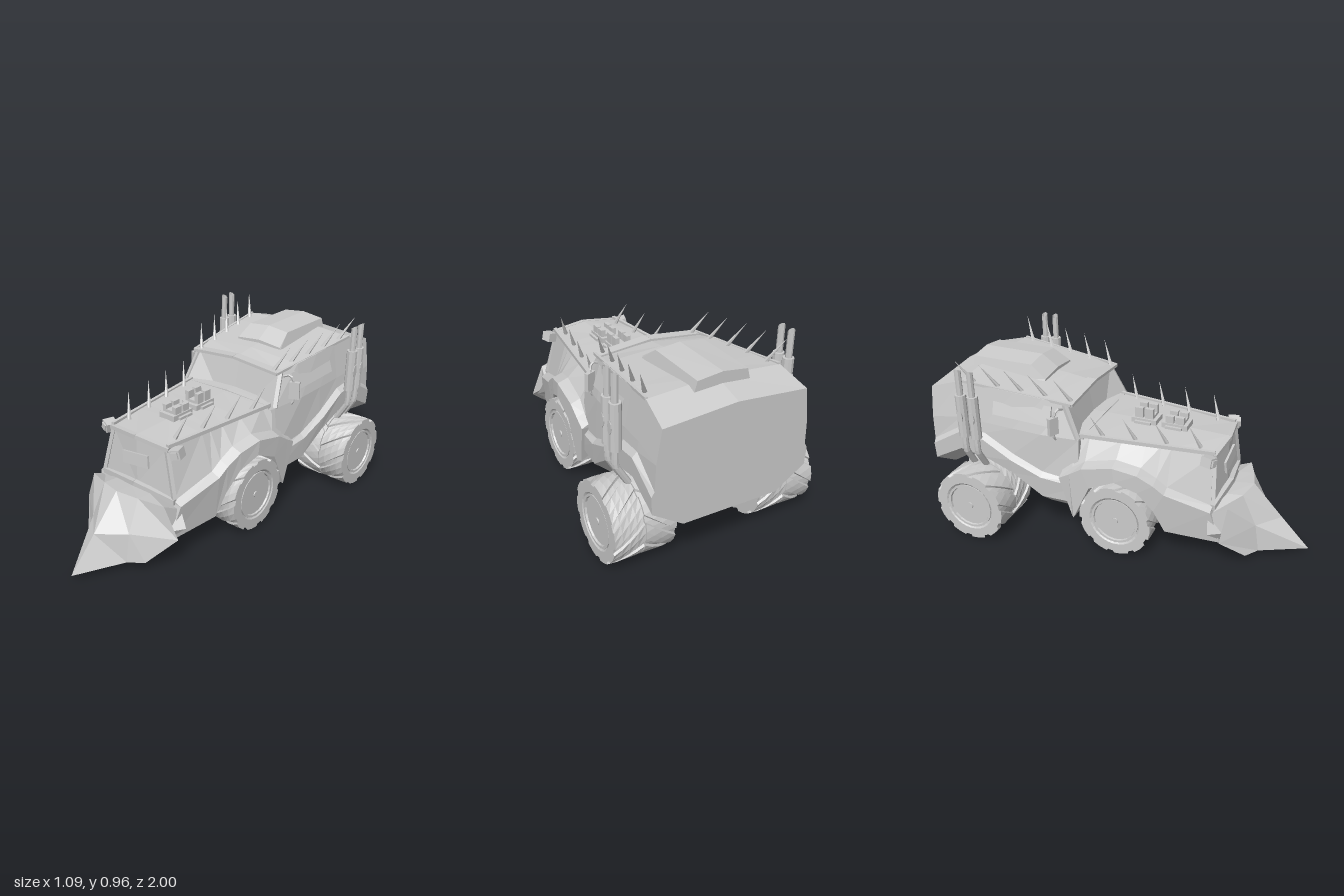
import * as THREE from 'three';

const mat = new THREE.MeshStandardMaterial({ color: 0xcccccc, flatShading: true, side: THREE.DoubleSide });
const V = (p) => new THREE.Vector3(...p);

function add(parent, name, geo) {
  const m = new THREE.Mesh(geo, mat);
  m.name = name;
  parent.add(m);
  return m;
}

// Skin closed rings of equal length, with fan caps at both ends
function loft(rings) {
  const n = rings[0].length, pos = rings.flat(2), idx = [];
  for (let i = 0; i < rings.length - 1; i++)
    for (let j = 0; j < n; j++) {
      const a = i * n + j, b = i * n + (j + 1) % n;
      idx.push(a, a + n, b, b, a + n, b + n);
    }
  [0, rings.length - 1].forEach((r) => {
    const c = [0, 1, 2].map((k) => rings[r].reduce((s, p) => s + p[k], 0) / n);
    const ci = pos.length / 3;
    pos.push(...c);
    for (let j = 0; j < n; j++) {
      const a = r * n + j, b = r * n + (j + 1) % n;
      idx.push(...(r ? [b, ci, a] : [a, ci, b]));
    }
  });
  const g = new THREE.BufferGeometry();
  g.setAttribute('position', new THREE.Float32BufferAttribute(pos, 3));
  g.setIndex(idx);
  g.computeVertexNormals();
  return g;
}

// Mirror a half section that starts and ends on the centre line
const mirrorRing = (half) => [...half, ...half.slice(1, -1).reverse().map(([x, y, z]) => [-x, y, z])];

// Rectangular bar between two points
function bar(parent, name, a, b, w, h) {
  const A = V(a), B = V(b);
  const m = add(parent, name, new THREE.BoxGeometry(w, h, A.distanceTo(B)));
  m.position.copy(A).add(B).multiplyScalar(0.5);
  m.lookAt(B);
}

function spike(parent, base, tip) {
  const A = V(base), d = V(tip).sub(A), len = d.length();
  const m = add(parent, 'spike', new THREE.ConeGeometry(0.012, len, 6).translate(0, len / 2, 0));
  m.position.copy(A);
  m.quaternion.setFromUnitVectors(new THREE.Vector3(0, 1, 0), d.normalize());
}

// Tyre with slanted lugs: rows across the width, twisted as they go
function tyreGeometry(w, twist) {
  const lugs = 10, steps = [[0, 1], [0.33, 1], [0.66, 1], [0.7, 0], [0.96, 0]];
  const rows = [[-0.42, 0.125, 0], [-0.5, 0.14, 0], [-0.5, 0.186, 0.012], [-0.25, 0.188, 0.012], [0, 0.188, 0.012],
    [0.25, 0.188, 0.012], [0.5, 0.186, 0.012], [0.5, 0.14, 0], [0.42, 0.125, 0]];
  return loft(rows.map(([f, r, lug]) => {
    const ring = [];
    for (let i = 0; i < lugs; i++)
      for (const [s, up] of steps) {
        const t = (i + s) / lugs * Math.PI * 2 + f * twist, R = r + lug * up;
        ring.push([f * w, R * Math.sin(t), R * Math.cos(t)]);
      }
    return ring.reverse();
  }));
}

function wheel(parent, name, x, z, twist) {
  const g = new THREE.Group();
  g.name = name;
  g.position.set(x, 0.2, z);
  add(g, 'tyre', tyreGeometry(0.154, twist));
  // Stepped dish with a raised hub on each face
  const half = [[0, 0.07], [0.016, 0.07], [0.018, 0.058], [0.058, 0.054], [0.064, 0.04],
    [0.094, 0.036], [0.1, 0.055], [0.113, 0.058], [0.118, 0.074], [0.13, 0.074]];
  const prof = [...half, ...half.map(([r, h]) => [r, -h]).reverse()].reverse();
  add(g, 'rim', new THREE.LatheGeometry(prof.map(([r, h]) => new THREE.Vector2(r, h)), 20).rotateZ(Math.PI / 2));
  parent.add(g);
}

export function createModel() {
  const root = new THREE.Group();
  root.name = 'armouredTruck';

  // Front hull: z, top x, top y, centre y, fender y, inner x, outer x, bottom x, bottom y, bottom z
  const front = [
    [0.535, 0.19, 0.595, 0.612, 0.31, 0.245, 0.285, 0.25, 0.12, 0.58],
    [0.3, 0.22, 0.605, 0.618, 0.39, 0.285, 0.335, 0.31, 0.155, 0.3],
    [0.245, 0.225, 0.605, 0.618, 0.435, 0.293, 0.345, 0.335, 0.28, 0.245],
    [0.165, 0.235, 0.605, 0.62, 0.485, 0.305, 0.362, 0.36, 0.385, 0.165],
    [0.04, 0.25, 0.608, 0.62, 0.515, 0.325, 0.385, 0.385, 0.435, 0.05],
    [-0.13, 0.265, 0.61, 0.62, 0.475, 0.335, 0.388, 0.388, 0.37, -0.09],
    [-0.2, 0.28, 0.61, 0.62, 0.43, 0.345, 0.388, 0.385, 0.165, -0.185],
    [-0.26, 0.28, 0.61, 0.62, 0.395, 0.35, 0.388, 0.37, 0.165, -0.2],
  ];
  add(root, 'frontHull', loft(front.map(([z, tx, ty, cy, fy, ix, ox, bx, by, bz], i) => mirrorRing([
    [0, cy, z], [tx, ty, z], [ix, fy + 0.02, z], [ox, fy, z], [bx, by, bz], [0, by, bz],
  ].map(([x, y, zz]) => [x, y, i || y === by ? zz : zz + (0.6 - y) * 0.1 - x * 0.12])))));

  // Cab and rear hull: z, top, centre y, belt, fender y, inner x, outer x, chamfer xy, bottom xy
  const cab = [
    [-0.17, 0.285, 0.77, 0.8, 0.32, 0.6, 0.34, 0.345, 0.36, 0.355, 0.24, 0.28, 0.165],
    [-0.37, 0.315, 0.795, 0.815, 0.355, 0.61, 0.37, 0.36, 0.385, 0.375, 0.25, 0.28, 0.17],
    [-0.53, 0.33, 0.81, 0.83, 0.365, 0.62, 0.45, 0.375, 0.405, 0.395, 0.37, 0.32, 0.335],
    [-0.69, 0.34, 0.825, 0.845, 0.373, 0.63, 0.545, 0.38, 0.41, 0.405, 0.44, 0.33, 0.41],
    [-0.83, 0.35, 0.835, 0.86, 0.383, 0.64, 0.565, 0.39, 0.415, 0.41, 0.465, 0.32, 0.39],
    [-1, 0.37, 0.785, 0.815, 0.395, 0.62, 0.465, 0.4, 0.415, 0.41, 0.375, 0.25, 0.27],
  ];
  add(root, 'cabHull', loft(cab.map(([z, tx, ty, cy, mx, my, fy, ix, ox, hx, hy, bx, by], i) => mirrorRing([
    [0, cy, z], [tx, ty, z], [mx, my, z], [ix, fy + 0.025, z], [ox, fy, z], [hx, hy, z], [bx, by, z], [0, by, z],
  ].map(([x, y, zz]) => [x, y, i ? zz : zz - Math.max(0, y - 0.6) * 0.5])))));

  // Roof scoop with a sloping front
  add(root, 'roofScoop', loft([[-0.44, 0.825, 0.145, 0.84], [-0.53, 0.888, 0.13, 0.902], [-0.88, 0.888, 0.13, 0.904]].map(
    ([z, y, x, cy]) => mirrorRing([[0, cy, z], [x, y, z], [0.15, 0.815, z], [0, 0.815, z]]))));

  // Pointed plough: columns from the left edge to the right edge
  const plough = [
    [[0.25, 0.335, 0.61], [0.325, 0.17, 0.595], [0.21, 0.045, 0.71], [0.2, 0.1, 0.6], [0.318, 0.2, 0.53], [0.27, 0.285, 0.515]],
    [[0.12, 0.35, 0.655], [0.13, 0.19, 0.735], [0.13, 0.038, 0.76], [0.12, 0.1, 0.62], [0.12, 0.2, 0.56], [0.12, 0.34, 0.57]],
    [[0, 0.36, 0.685], [0, 0.19, 0.845], [0, 0.03, 1], [0, 0.1, 0.64], [0, 0.2, 0.58], [0, 0.345, 0.58]],
  ];
  const flip = (c) => c.map(([x, y, z]) => [-x, y, z]);
  add(root, 'plough', loft([...plough, flip(plough[1]), flip(plough[0])]));

  // Grille plate
  const plate = add(root, 'grillePlate', new THREE.BoxGeometry(0.175, 0.065, 0.012));
  plate.position.set(0, 0.48, 0.545);
  plate.rotation.set(-0.1, 0, 0.13);

  // Two carburettors on the hood
  for (const z of [0.08, 0.25]) {
    const g = new THREE.Group();
    g.name = 'carburettor';
    g.position.set(0, 0.62, z);
    add(g, 'base', new THREE.BoxGeometry(0.1, 0.03, 0.14)).position.y = 0.01;
    add(g, 'body', new THREE.BoxGeometry(0.05, 0.03, 0.1)).position.y = 0.025;
    for (const s of [-1, 1]) {
      add(g, 'linkage', new THREE.BoxGeometry(0.015, 0.014, 0.09)).position.set(s * 0.065, 0.01, 0);
      for (const d of [-0.028, 0.028])
        add(g, 'stack', new THREE.BoxGeometry(0.024, 0.055, 0.044)).position.set(s * 0.033, z < 0.2 ? 0.055 : 0.036, d);
    }
    root.add(g);
  }

  for (const s of [-1, 1]) {
    const side = new THREE.Group();
    side.name = s > 0 ? 'leftSide' : 'rightSide';
    root.add(side);

    // Wheels: single in front, paired behind
    wheel(side, 'frontWheel', s * 0.31, 0.05, s * 0.6);
    wheel(side, 'rearOuterWheel', s * 0.469, -0.725, s * 0.6);
    wheel(side, 'rearInnerWheel', s * 0.31, -0.725, -s * 0.6);

    // Trim along the hood, grille, windscreen and roof
    bar(side, 'hoodRail', [s * 0.19, 0.602, 0.515], [s * 0.28, 0.61, -0.18], 0.018, 0.02);
    bar(side, 'noseLip', [0, 0.603, 0.535], [s * 0.2, 0.586, 0.512], 0.025, 0.022);
    bar(side, 'grilleFrame', [s * 0.185, 0.58, 0.513], [s * 0.245, 0.34, 0.533], 0.02, 0.02);
    bar(side, 'noseBand', [0, 0.35, 0.56], [s * 0.25, 0.325, 0.533], 0.025, 0.03);
    bar(side, 'windscreenSill', [0, 0.615, -0.165], [s * 0.285, 0.6, -0.17], 0.02, 0.02);
    bar(side, 'windscreenPillar', [s * 0.315, 0.6, -0.18], [s * 0.285, 0.77, -0.26], 0.022, 0.02);
    bar(side, 'roofVisor', [0, 0.8, -0.235], [s * 0.29, 0.773, -0.24], 0.055, 0.016);
    bar(side, 'roofRail', [s * 0.288, 0.775, -0.22], [s * 0.348, 0.836, -0.83], 0.014, 0.014);

    // Spikes along the hood and the roof, leaning out and back
    [0.43, 0.26, 0.1, -0.07].forEach((z, i) => {
      const x = 0.16 + i * 0.026;
      spike(side, [s * x, 0.605, z], [s * (x + 0.05), 0.735, z - 0.05]);
    });
    [-0.235, -0.37, -0.5, -0.63, -0.765].forEach((z, i) => {
      const x = 0.25 + i * 0.017, y = 0.775 + i * 0.013;
      spike(side, [s * x, y, z], [s * (x + 0.063), y + 0.135, z - 0.068]);
    });

    // Corner lamp
    const lamp = new THREE.Group();
    lamp.name = 'cornerLamp';
    lamp.position.set(s * 0.235, 0.575, 0.495);
    lamp.rotation.set(0, s * 0.3, s * 0.25);
    add(lamp, 'housing', new THREE.BoxGeometry(0.055, 0.05, 0.06));
    add(lamp, 'lens', new THREE.BoxGeometry(0.036, 0.034, 0.012)).position.z = 0.032;
    side.add(lamp);

    // Door mirror on a bent arm
    const arm = new THREE.CatmullRomCurve3([[s * 0.29, 0.745, -0.27], [s * 0.335, 0.76, -0.28], [s * 0.352, 0.7, -0.295], [s * 0.35, 0.61, -0.295], [s * 0.325, 0.58, -0.29]].map(V));
    add(side, 'mirrorArm', new THREE.TubeGeometry(arm, 12, 0.007, 5));
    const mirror = add(side, 'mirror', new THREE.BoxGeometry(0.055, 0.095, 0.022));
    mirror.position.set(s * 0.354, 0.675, -0.295);
    mirror.rotation.y = s * 0.45;

    // Thin side window panel
    add(side, 'sideWindow', loft([-0.32, -0.64].map((z, i) => [[0.316, 0.76], [0.348, 0.66], [0.33, 0.66], [0.3, 0.76]].map(
      ([x, y]) => [s * (x + i * 0.022), y + i * 0.025, z]))));

    // Paired exhaust stacks
    for (const z of [-0.69, -0.76]) {
      const path = new THREE.CurvePath();
      const pts = [[s * 0.395, 0.39, z], [s * 0.455, 0.49, z], [s * 0.46, 0.52, z], [s * 0.46, 0.935, z]].map(V);
      for (let i = 0; i < 3; i++) path.add(new THREE.LineCurve3(pts[i], pts[i + 1]));
      add(side, 'exhaustPipe', new THREE.TubeGeometry(path, 24, 0.017, 8));
      add(side, 'muffler', new THREE.CylinderGeometry(0.029, 0.029, 0.235, 10)).position.set(s * 0.458, 0.698, z);
      // Oblique pipe mouth
      const mouth = new THREE.CylinderGeometry(0.017, 0.017, 0.03, 8, 1, true), p = mouth.attributes.position;
      for (let i = 0; i < p.count; i++) if (p.getY(i) > 0) p.setY(i, 0.008 + s * p.getX(i) * 0.5);
      add(side, 'pipeMouth', mouth).position.set(s * 0.46, 0.942, z);
      const guard = add(side, 'mufflerGuard', new THREE.CylinderGeometry(0.02, 0.02, 0.01, 10).rotateZ(Math.PI / 2).scale(1, 1.8, 0.8));
      guard.position.set(s * 0.483, 0.7, z);
    }
  }
  return root;
}
